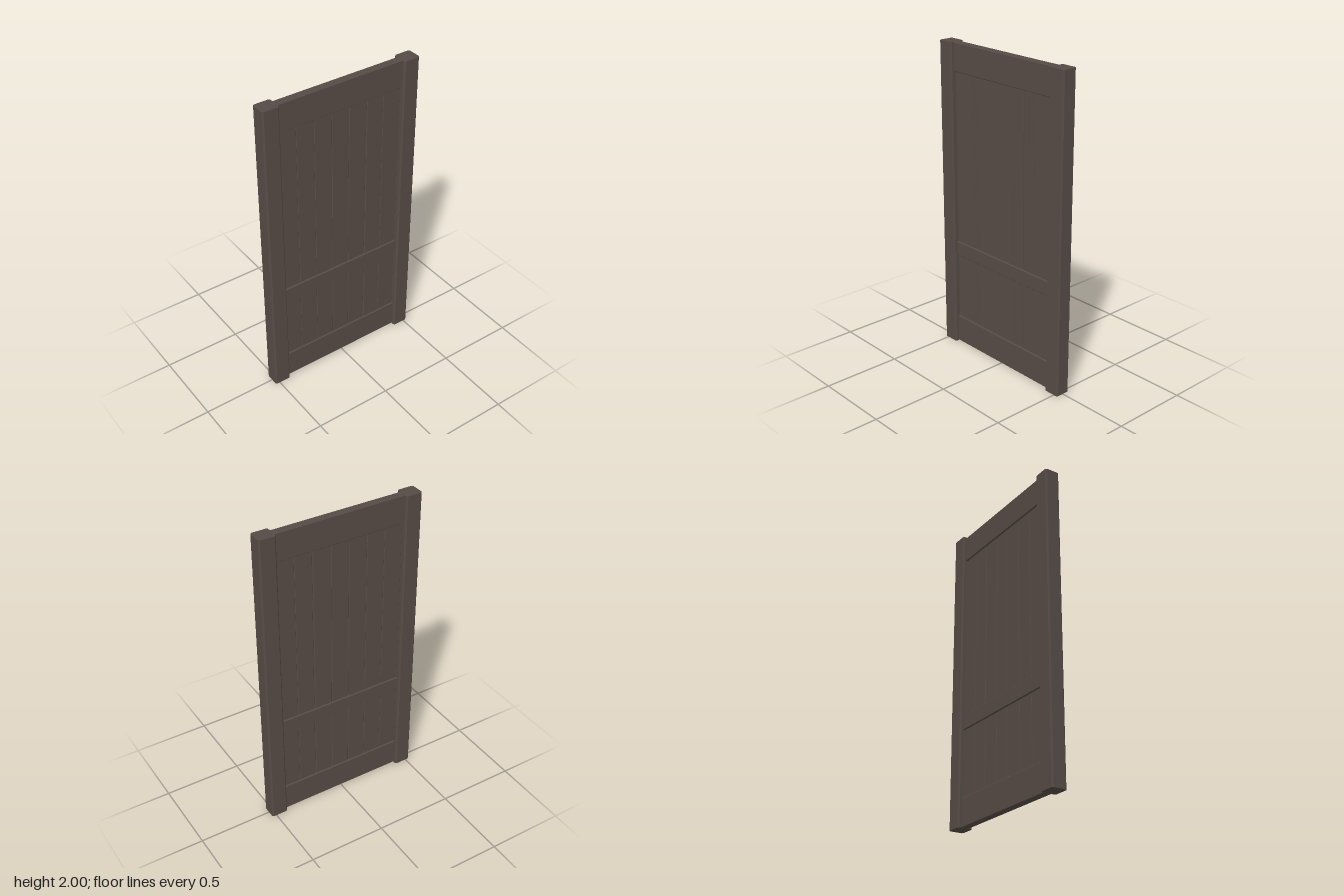
import * as THREE from 'three';

// Box section (w x d) with its four long edges chamfered by c, extruded to a length and centred
function board(w, d, length, c) {
  const x = w / 2, y = d / 2;
  const shape = new THREE.Shape([
    [x - c, -y], [x, -y + c], [x, y - c], [x - c, y],
    [-x + c, y], [-x, y - c], [-x, -y + c], [-x + c, -y],
  ].map(([a, b]) => new THREE.Vector2(a, b)));
  const geometry = new THREE.ExtrudeGeometry(shape, { depth: length, bevelEnabled: false });
  return geometry.translate(0, 0, -length / 2).rotateX(-Math.PI / 2);
}

export function createModel() {
  const door = new THREE.Group();
  door.name = 'door';
  const wood = new THREE.MeshStandardMaterial({ color: 0x564b46 });
  wood.name = 'dark brown wood';

  const add = (name, geometry, x, y) => {
    const mesh = new THREE.Mesh(geometry, wood);
    mesh.name = name;
    mesh.position.set(x, y, 0);
    door.add(mesh);
  };

  // Thick upright posts at both sides
  for (const [name, side] of [['leftStile', 1], ['rightStile', -1]]) {
    add(name, board(0.108, 0.098, 2, 0.009), side * 0.474, 1);
  }

  // Horizontal rails between the posts
  for (const [name, bottom, top] of [
    ['bottomRail', 0, 0.183], ['middleRail', 0.617, 0.713], ['topRail', 1.82, 2],
  ]) {
    const rail = board(top - bottom, 0.05, 0.85, 0.004).rotateZ(Math.PI / 2);
    add(name, rail, 0, (bottom + top) / 2);
  }

  // Seven vertical planks with V-grooves, and one narrow open joint
  for (let i = 0; i < 7; i++) {
    const gap = i === 5 ? 0.005 : 0;
    add(`plank${i + 1}`, board(0.12 - gap, 0.03, 1.8, 0.003), (i - 3) * 0.12 + gap / 2, 1);
  }
  return door;
}
